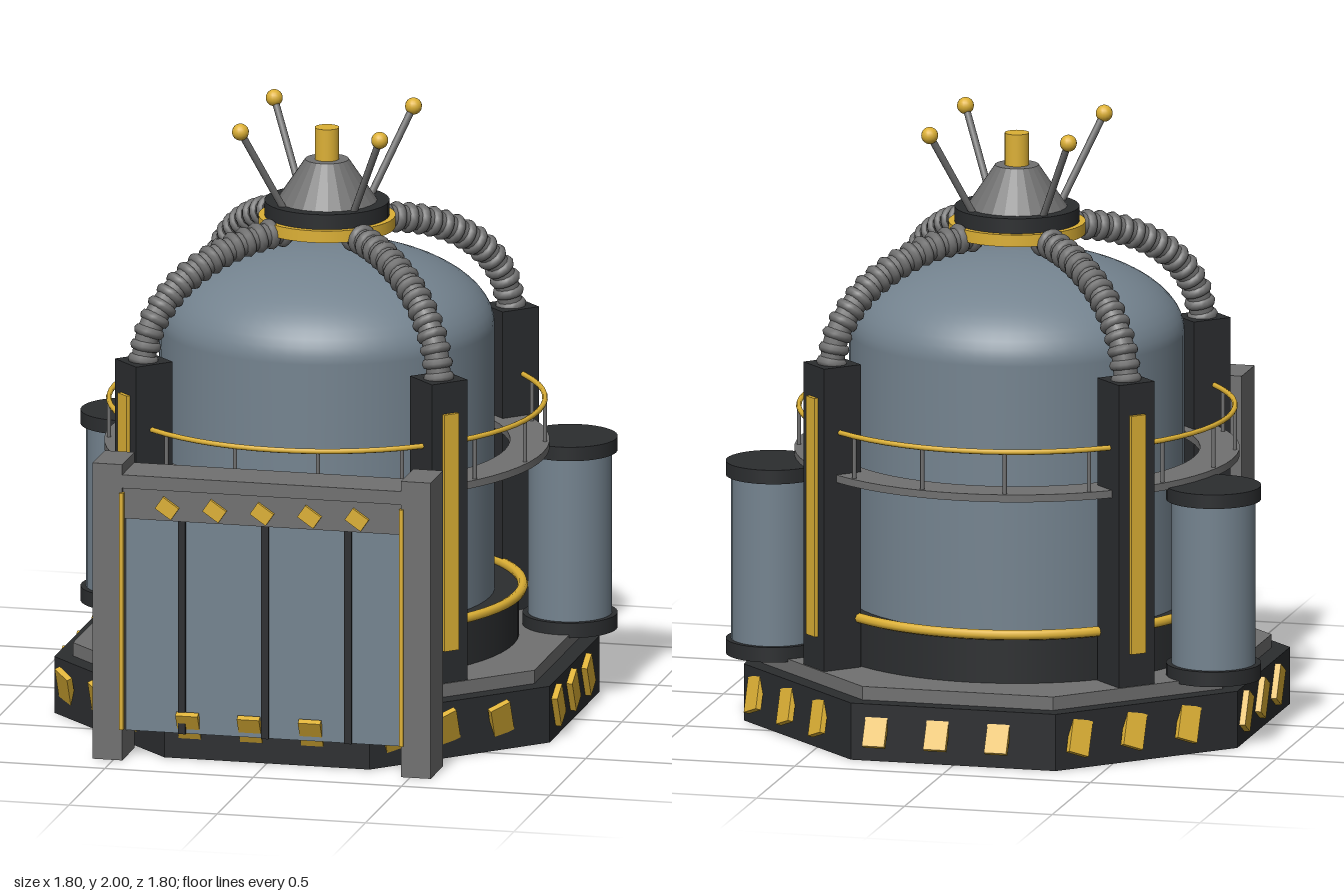
import * as THREE from 'three';
import { toCreasedNormals } from 'three/addons/utils/BufferGeometryUtils.js';

const mat = (color, flatShading = false) => new THREE.MeshStandardMaterial({ color, flatShading });
const DARK = mat(0x2b2d2f), GREY = mat(0x707070), BLUE = mat(0x74838f), YELLOW = mat(0xdcb035);
const DARK_FLAT = mat(0x2b2d2f, true), GREY_FLAT = mat(0x707070, true);

export function createModel() {
  const model = new THREE.Group();
  const body = new THREE.Group(); // everything round the tank axis
  body.name = 'reactorBody';
  body.position.z = -0.025;
  model.add(body);

  const add = (parent, name, geometry, material, x = 0, y = 0, z = 0) => {
    const mesh = new THREE.Mesh(geometry, material);
    mesh.name = name;
    mesh.position.set(x, y, z);
    parent.add(mesh);
    return mesh;
  };
  // box given by its centre, and cylinder given by bottom and top heights
  const box = (parent, name, m, w, h, d, x, y, z) =>
    add(parent, name, new THREE.BoxGeometry(w, h, d), m, x, y, z);
  const cyl = (parent, name, m, rTop, rBottom, y0, y1, x = 0, z = 0, sides = 40) =>
    add(parent, name, new THREE.CylinderGeometry(rTop, rBottom, y1 - y0, sides), m, x, (y0 + y1) / 2, z);
  const ring = (name, m, radius, tube, y) => {
    const mesh = add(body, name, new THREE.TorusGeometry(radius, tube, 8, 64), m, 0, y, 0);
    mesh.rotation.x = Math.PI / 2;
  };
  // straight rod between two points
  const rod = (parent, name, m, a, b, r) => {
    const mesh = add(parent, name, new THREE.CylinderGeometry(r, r, a.distanceTo(b), 10), m);
    mesh.position.copy(a).lerp(b, 0.5);
    mesh.quaternion.setFromUnitVectors(new THREE.Vector3(0, 1, 0), b.clone().sub(a).normalize());
  };

  // octagonal base in two steps
  const toCorner = 1 / Math.cos(Math.PI / 8);
  const octagon = (name, m, apothem, y0, y1) => {
    const r = apothem * toCorner;
    cyl(body, name, m, r, r, y0, y1, 0, 0, 8).rotation.y = Math.PI / 8;
  };
  octagon('base', DARK_FLAT, 0.835, 0, 0.19);
  octagon('baseStep', GREY_FLAT, 0.778, 0.19, 0.235);

  // hazard marks, all tipped about the same axis
  for (let i = 0; i < 8; i++) {
    const a = (i * Math.PI) / 4;
    for (const t of [-0.26, -0.053, 0.153]) {
      const x = Math.sin(a) * 0.845 + Math.cos(a) * t;
      const z = Math.cos(a) * 0.845 - Math.sin(a) * t;
      box(body, 'hazardMark', YELLOW, 0.075, 0.12, 0.02, x, 0.107, z).rotation.set(0.5, a, 0);
    }
  }

  // domed tank
  cyl(body, 'tankFoot', DARK, 0.63, 0.63, 0.235, 0.39, 0, 0, 64);
  ring('tankFootRing', YELLOW, 0.642, 0.017, 0.4);
  const profile = [new THREE.Vector2(0.55, 0.38)];
  for (let i = 0; i <= 16; i++) {
    const a = (i / 16) * Math.PI / 2;
    profile.push(new THREE.Vector2(i === 16 ? 0 : 0.55 * Math.cos(a), 1.28 + 0.27 * Math.sin(a)));
  }
  add(body, 'tank', new THREE.LatheGeometry(profile, 64), BLUE);

  // walkway with railing
  const section = [[0.6, 0.865], [0.73, 0.865], [0.73, 0.89], [0.6, 0.89], [0.6, 0.865]]
    .map(([r, y]) => new THREE.Vector2(r, y));
  add(body, 'walkway', toCreasedNormals(new THREE.LatheGeometry(section, 64), 0.6), GREY);
  ring('handrail', YELLOW, 0.715, 0.009, 1.03);
  for (let i = 0; i < 16; i++) {
    const a = ((i + 0.5) * Math.PI) / 8;
    cyl(body, 'railPost', GREY, 0.007, 0.007, 0.89, 1.03, 0.715 * Math.sin(a), 0.715 * Math.cos(a), 8);
  }

  // four corner units: pillar, ribbed hose and antenna, with +z pointing outward
  const V = (y, z) => new THREE.Vector3(0, y, z);
  for (let i = 0; i < 4; i++) {
    const corner = new THREE.Group();
    corner.name = 'cornerUnit';
    corner.rotation.y = Math.PI / 4 + (i * Math.PI) / 2;
    body.add(corner);
    box(corner, 'pillar', DARK, 0.135, 1.015, 0.14, 0, 0.7425, 0.703);
    box(corner, 'pillarStrip', YELLOW, 0.055, 0.8, 0.02, 0, 0.745, 0.776);

    const path = new THREE.CatmullRomCurve3(
      [V(1.23, 0.71), V(1.36, 0.675), V(1.48, 0.575), V(1.57, 0.41), V(1.61, 0.24), V(1.615, 0.15)]);
    add(corner, 'hose', new THREE.TubeGeometry(path, 40, 0.04, 12), GREY);
    for (let k = 0; k < 16; k++) {
      const u = (k + 0.5) / 16;
      const rib = add(corner, 'hoseRib', new THREE.TorusGeometry(0.034, 0.018, 8, 16), GREY);
      rib.position.copy(path.getPointAt(u));
      rib.quaternion.setFromUnitVectors(new THREE.Vector3(0, 0, 1), path.getTangentAt(u));
    }

    rod(corner, 'antenna', GREY, V(1.68, 0.16), V(1.972, 0.332), 0.012);
    add(corner, 'antennaBall', new THREE.SphereGeometry(0.028, 16, 12), YELLOW, 0, 1.972, 0.332);
  }

  // cap above the dome
  cyl(body, 'capRing', YELLOW, 0.225, 0.225, 1.61, 1.65);
  cyl(body, 'capCollar', DARK, 0.205, 0.205, 1.65, 1.7);
  cyl(body, 'capCone', GREY_FLAT, 0.072, 0.165, 1.7, 1.838, 0, 0, 24);
  cyl(body, 'capStack', YELLOW, 0.04, 0.04, 1.83, 1.945, 0, 0, 24);

  // side canisters
  for (const s of [-1, 1]) {
    const can = new THREE.Group();
    can.name = s > 0 ? 'leftCanister' : 'rightCanister';
    can.position.set(s * 0.745, 0, -0.333);
    model.add(can);
    cyl(can, 'canisterBody', BLUE, 0.138, 0.138, 0.27, 0.83);
    cyl(can, 'canisterBottom', DARK, 0.156, 0.156, 0.225, 0.275);
    cyl(can, 'canisterLid', DARK, 0.156, 0.156, 0.823, 0.87);
  }

  // front gate
  const gate = new THREE.Group();
  gate.name = 'gate';
  model.add(gate);
  for (const s of [-1, 1]) {
    box(gate, 'gatePost', GREY, 0.1, 1.0, 0.17, s * 0.52, 0.5, 0.798);
    box(gate, 'gateStrip', YELLOW, 0.014, 0.8, 0.02, s * 0.472, 0.505, 0.882);
  }
  box(gate, 'gateBeam', GREY, 0.94, 0.045, 0.17, 0, 0.943, 0.798);
  box(gate, 'gateHeader', GREY, 0.94, 0.105, 0.11, 0, 0.868, 0.815);
  box(gate, 'gatePanel', BLUE, 0.94, 0.73, 0.07, 0, 0.455, 0.795);
  for (const x of [-0.28, 0, 0.28]) box(gate, 'gateDivider', DARK, 0.025, 0.73, 0.02, x, 0.455, 0.832);
  for (let i = -2; i <= 2; i++) {
    box(gate, 'gateMark', YELLOW, 0.065, 0.048, 0.02, i * 0.16, 0.86, 0.873).rotation.z = -0.6;
  }
  return model;
}
